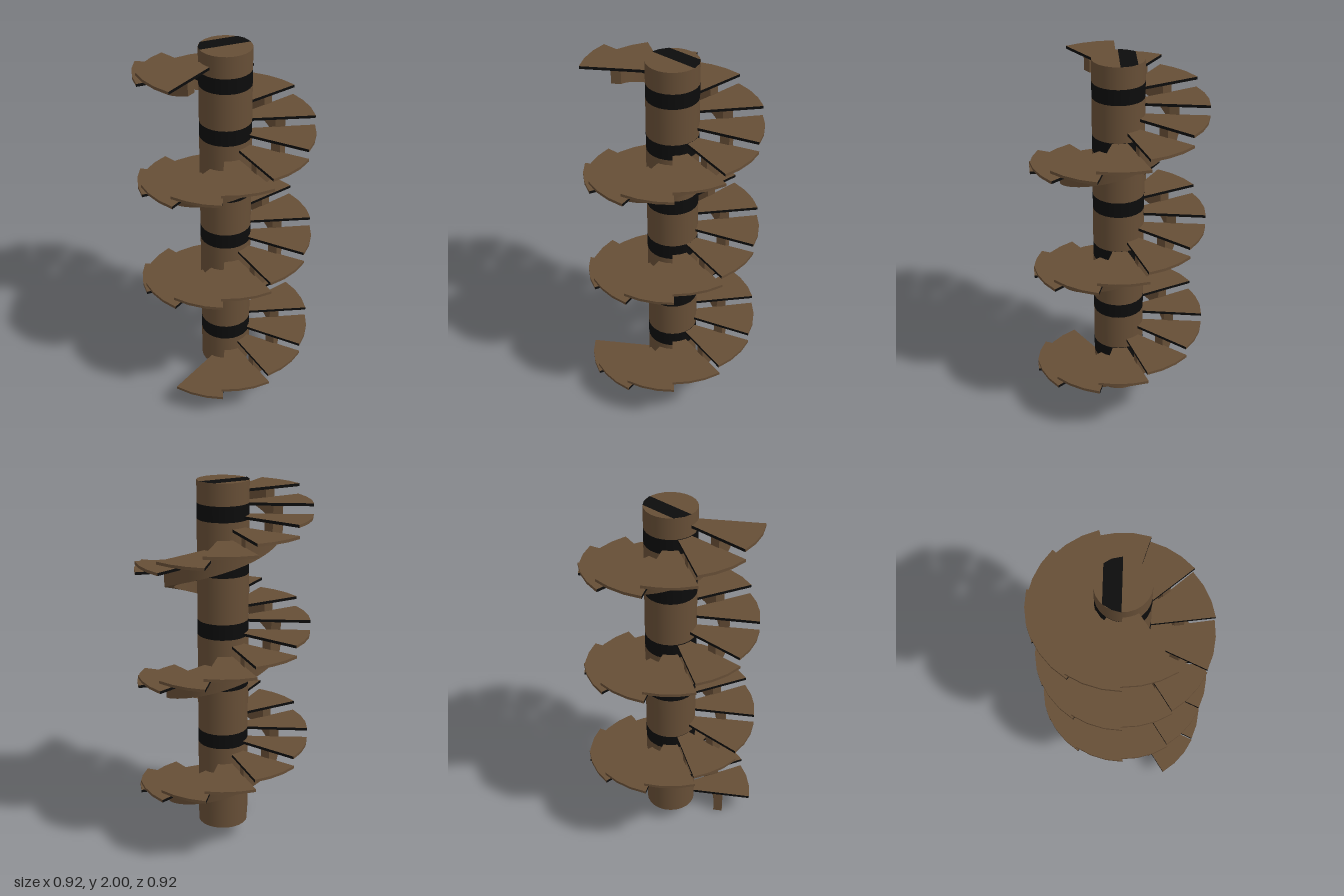
import * as THREE from 'three';
import { mergeGeometries, toCreasedNormals } from 'three/addons/utils/BufferGeometryUtils.js';

const TREADS = 33, PER_TURN = 11;
const STEP = (Math.PI * 2) / PER_TURN;
const RISE = 0.0561;
const FIRST_TOP = 0.143, THICK = 0.015;
const START = THREE.MathUtils.degToRad(-68.5);
const COLUMN_R = 0.135, COLUMN_BOTTOM = 0.09;

// Curved block between two radii, swept from angle a0 to a1 (angle 0 is +z, growing towards +x).
// Group 0 is the swept surface, group 1 the two end faces.
function arcBlock(r0, r1, a0, a1, segments, bottomAt, topAt) {
  const pos = [], index = [];
  for (let s = 0; s <= segments; s++) {
    const a = a0 + ((a1 - a0) * s) / segments;
    const b = bottomAt(a), t = topAt(a);
    for (const [r, y] of [[r0, b], [r1, b], [r1, t], [r0, t]]) {
      pos.push(r * Math.sin(a), y, r * Math.cos(a));
    }
  }
  for (let s = 0; s < segments; s++) {
    for (let i = 0; i < 4; i++) {
      const j = (i + 1) % 4, p = s * 4, q = p + 4;
      index.push(p + i, q + i, q + j, p + i, q + j, p + j);
    }
  }
  const sideCount = index.length, e = segments * 4;
  index.push(0, 1, 2, 0, 2, 3, e, e + 2, e + 1, e, e + 3, e + 2);
  const g = new THREE.BufferGeometry();
  g.setAttribute('position', new THREE.Float32BufferAttribute(pos, 3));
  g.setIndex(index);
  g.addGroup(0, sideCount, 0);
  g.addGroup(sideCount, 12, 1);
  return g;
}

export function createModel() {
  const wood = new THREE.MeshStandardMaterial({ color: 0x664e36 });
  wood.name = 'brown wood';
  const black = new THREE.MeshStandardMaterial({ color: 0x0c0c0c });
  black.name = 'black trim';

  const model = new THREE.Group();
  model.name = 'spiralStaircase';
  const add = (parent, name, geometry, material) => {
    const mesh = new THREE.Mesh(geometry, material);
    mesh.name = name;
    parent.add(mesh);
    return mesh;
  };

  // Central column: alternating brown and black rings
  const column = new THREE.Group();
  column.name = 'column';
  model.add(column);
  const cuts = [COLUMN_BOTTOM, 0.285, 0.37, 0.57, 0.65, 0.902, 0.985, 1.187, 1.27,
    1.518, 1.603, 1.803, 1.885, 2];
  for (let i = 0; i < cuts.length - 1; i++) {
    const h = cuts[i + 1] - cuts[i], banded = i % 2 === 1;
    const ring = add(column, banded ? 'columnBand' : 'columnSection',
      new THREE.CylinderGeometry(COLUMN_R, COLUMN_R, h, 24, 1, true), banded ? black : wood);
    ring.position.y = cuts[i] + h / 2;
  }

  // Column end caps with a slanted black stripe
  const stripe = [[-0.133, -0.03], [-0.115, -0.07], [-0.08, -0.108], [0.115, -0.07],
    [0.132, -0.03], [0.133, 0.023]];
  for (const side of [1, -1]) {
    const name = side > 0 ? 'top' : 'bottom';
    const y = side > 0 ? 2 : COLUMN_BOTTOM;
    const cap = add(column, name + 'Cap', new THREE.CircleGeometry(COLUMN_R, 24), wood);
    const shape = new THREE.Shape(stripe.map(([x, z]) => new THREE.Vector2(x, -z * side)));
    const mark = add(column, name + 'CapStripe', new THREE.ShapeGeometry(shape), black);
    cap.rotation.x = mark.rotation.x = (-side * Math.PI) / 2;
    cap.position.y = y - side * 0.002;
    mark.position.y = y;
  }

  // Wedge treads with black radial edges
  const treads = new THREE.Group();
  treads.name = 'treads';
  model.add(treads);
  const treadGeometry = toCreasedNormals(
    arcBlock(COLUMN_R - 0.01, 0.46, 0, STEP * 1.03, 3, () => -THICK, () => 0), 0.5);
  for (let k = 0; k < TREADS; k++) {
    const tread = add(treads, 'tread', treadGeometry, [wood, black]);
    tread.rotation.y = START + k * STEP;
    tread.position.y = FIRST_TOP + k * RISE;
  }

  // Helical stringer: smooth underside, stepped top meeting each tread
  const blocks = [];
  for (let k = 0; k < TREADS; k++) {
    const a = START + k * STEP;
    const top = FIRST_TOP + k * RISE - THICK;
    blocks.push(arcBlock(0.255, 0.305, a, a + STEP, 6,
      (angle) => ((angle - START) / STEP) * RISE, () => top));
  }
  add(model, 'stringer', toCreasedNormals(mergeGeometries(blocks), 0.5), wood);

  return model;
}
